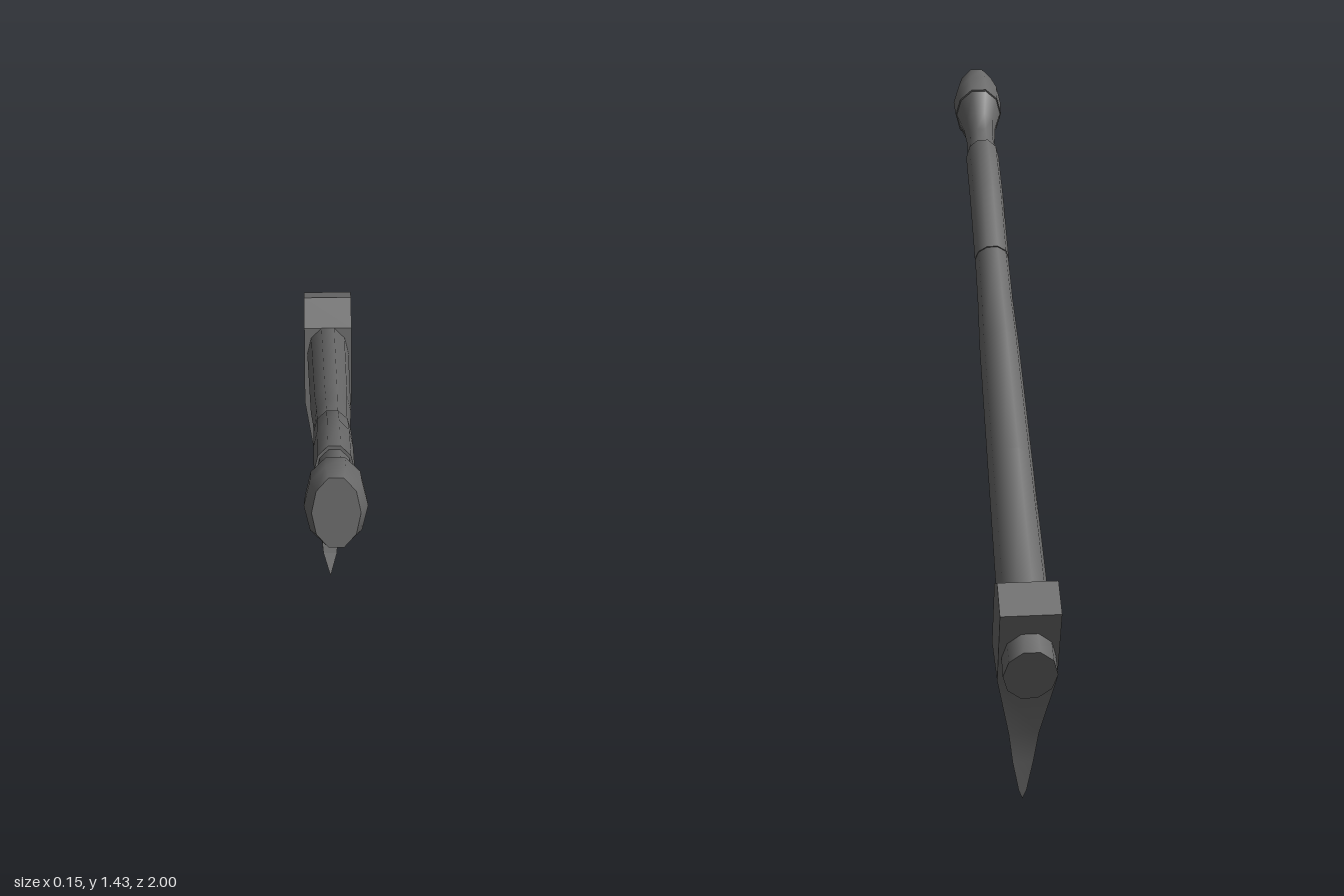
import * as THREE from 'three';
import { toCreasedNormals } from 'three/addons/utils/BufferGeometryUtils.js';

const SIDES = 10;
const material = new THREE.MeshStandardMaterial({ color: 0x6a6a6a });

// Lofts oval rings; each section is [topZ, topY, bottomZ, bottomY, halfWidth].
function loft(name, sections) {
  const pos = [], index = [];
  const addRing = ([tz, ty, bz, by, hw]) => {
    const start = pos.length / 3;
    for (let i = 0; i < SIDES; i++) {
      const a = (i / SIDES) * Math.PI * 2;
      const s = Math.sin(a) / Math.sin(Math.PI * 0.4) / 2; // flat facet on top
      pos.push(hw * Math.cos(a), (ty + by) / 2 + (ty - by) * s, (tz + bz) / 2 + (tz - bz) * s);
    }
    return start;
  };
  const rings = sections.map(addRing);
  for (let k = 0; k < rings.length - 1; k++) {
    for (let i = 0; i < SIDES; i++) {
      const j = (i + 1) % SIDES;
      const a = rings[k] + i, b = rings[k] + j, c = rings[k + 1] + i, d = rings[k + 1] + j;
      index.push(a, c, b, b, c, d);
    }
  }
  // End caps with their own vertices keep the rims sharp.
  const first = addRing(sections[0]), last = addRing(sections[sections.length - 1]);
  for (let i = 1; i < SIDES - 1; i++) {
    index.push(first, first + i, first + i + 1, last, last + i + 1, last + i);
  }
  const geo = new THREE.BufferGeometry();
  geo.setAttribute('position', new THREE.Float32BufferAttribute(pos, 3));
  geo.setIndex(index);
  geo.computeVertexNormals();
  const mesh = new THREE.Mesh(geo, material);
  mesh.name = name;
  return mesh;
}

// Bearded head: side-on points [z, y, halfThickness], mirrored across x.
function axeHead() {
  const P = [
    [-0.79, 0.655, 0.073], [-0.88, 0.709, 0.073], [-0.97, 0.671, 0.073], // poll
    [-0.882, 0.436, 0.073], [-0.708, 0.436, 0.073],                      // below the eye
    [-0.80, 0.222, 0.038], [-0.656, 0.295, 0.047],                       // neck
    [-0.618, 0.27, 0.042], [-0.463, 0.232, 0.035], [-0.168, 0.272, 0.02], // beard top
    [-0.775, 0.03, 0.01], [-0.52, 0.079, 0.02], [-0.385, 0.124, 0.022],  // bevel line
    [-0.77, 0, 0], [-0.517, 0.05, 0], [-0.377, 0.094, 0], [-0.083, 0.256, 0], // edge
    [-0.78, 0.12, 0.026],
  ];
  const faces = [
    [0, 1, 2, 3, 4], [4, 3, 5, 6], [6, 5, 17], [6, 17, 7], [7, 17, 11], [17, 10, 11],
    [7, 11, 8], [8, 11, 12], [8, 12, 9],
    [10, 13, 14, 11], [11, 14, 15, 12], [12, 15, 16, 9],
  ];
  const rim = [16, 9, 8, 7, 6, 4, 0, 1, 2, 3, 5, 17, 10, 13];
  const pos = [];
  const put = (i, side) => pos.push(side * P[i][2], P[i][1], P[i][0]);

  // Both cheeks
  for (const f of faces) {
    for (let i = 1; i < f.length - 1; i++) {
      put(f[0], 1); put(f[i + 1], 1); put(f[i], 1);
      put(f[0], -1); put(f[i], -1); put(f[i + 1], -1);
    }
  }
  // Wall joining the cheeks
  for (let i = 0; i < rim.length - 1; i++) {
    const a = rim[i], b = rim[i + 1];
    if (P[b][2] > 0) { put(a, 1); put(b, 1); put(b, -1); }
    if (P[a][2] > 0) { put(a, 1); put(b, -1); put(a, -1); }
  }
  const geo = new THREE.BufferGeometry();
  geo.setAttribute('position', new THREE.Float32BufferAttribute(pos, 3));
  // Soft cheeks, crisp bevel and corners
  const mesh = new THREE.Mesh(toCreasedNormals(geo, 0.22), material);
  mesh.name = 'axeHead';
  return mesh;
}

export function createModel() {
  const group = new THREE.Group();
  group.name = 'axe';
  group.add(
    loft('pommel', [
      [0.945, 1.43, 1.0, 1.28, 0.054],
      [0.89, 1.42, 0.955, 1.25, 0.071],
      [0.832, 1.40, 0.886, 1.232, 0.068],
    ]),
    loft('neck', [
      [0.833, 1.395, 0.884, 1.237, 0.065],
      [0.79, 1.342, 0.835, 1.226, 0.047],
      [0.725, 1.312, 0.77, 1.21, 0.041],
      [0.655, 1.29, 0.695, 1.182, 0.043],
    ]),
    loft('grip', [
      [0.66, 1.30, 0.70, 1.18, 0.048],
      [0.463, 1.228, 0.517, 1.114, 0.048],
      [0.27, 1.116, 0.324, 1.02, 0.048],
    ]),
    loft('shaft', [
      [0.28, 1.116, 0.33, 1.025, 0.047],
      [0.13, 1.05, 0.195, 0.94, 0.049],
      [-0.02, 0.986, 0.05, 0.857, 0.054],
      [-0.40, 0.822, -0.335, 0.678, 0.059],
      [-0.785, 0.657, -0.725, 0.502, 0.064],
      [-1.0, 0.588, -0.935, 0.418, 0.066],
    ]),
    axeHead(),
  );
  return group;
}
